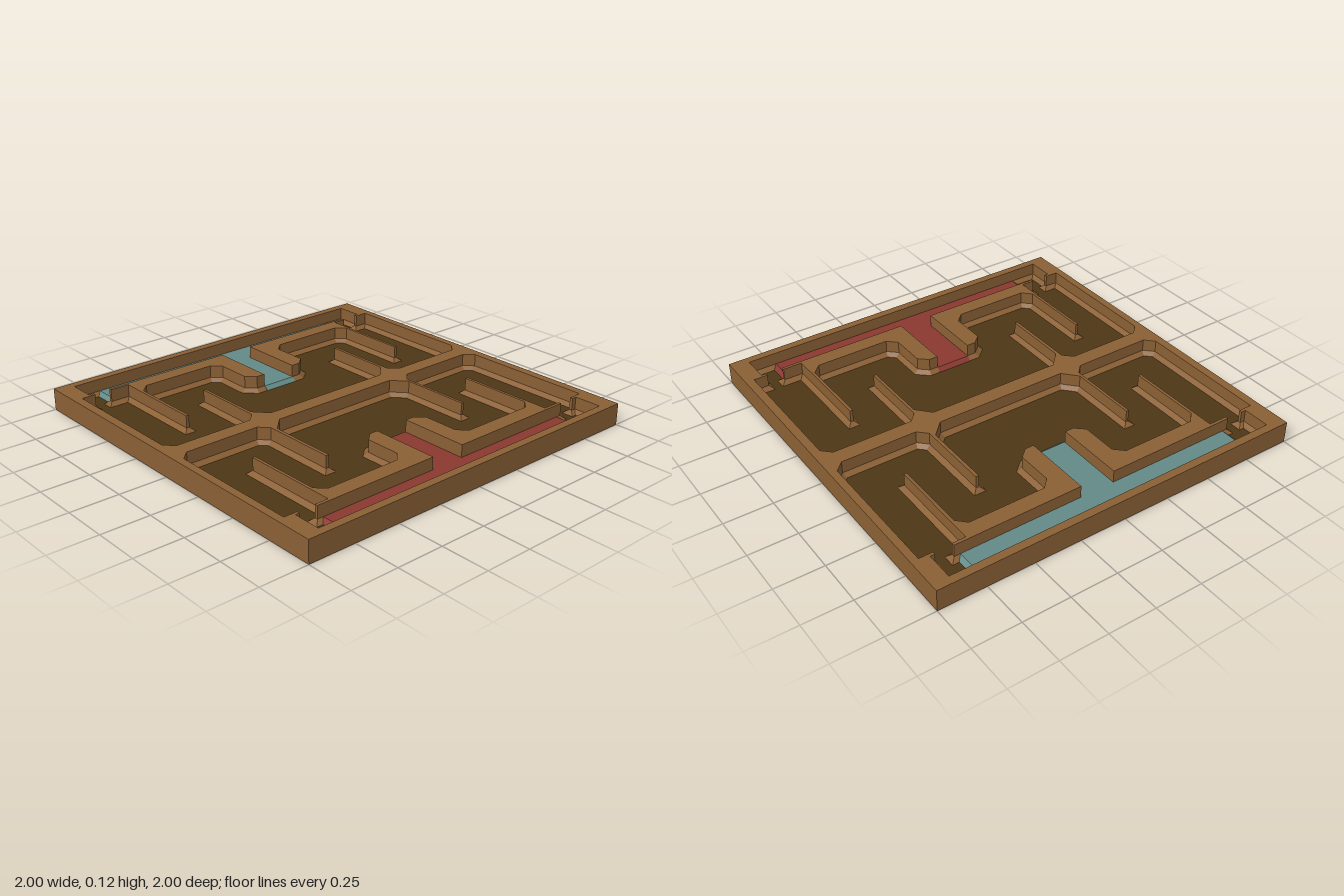
import * as THREE from 'three';

const BASE = 0.03, LEDGE = 0.05, TOP = 0.115, FOOT = 0.024;
const brown = new THREE.MeshStandardMaterial({ color: 0x8b6035, flatShading: true, side: THREE.DoubleSide });
const dark = new THREE.MeshStandardMaterial({ color: 0x4d3616, side: THREE.DoubleSide });
const teal = new THREE.MeshStandardMaterial({ color: 0x638a86, flatShading: true });
const red = new THREE.MeshStandardMaterial({ color: 0x8a3830, flatShading: true });

// Plan outlines are [x, z]; shapes use y = -z so they can be laid flat
const loop = pts => pts.map(([x, z]) => new THREE.Vector2(x, -z));

// Left compartment: corner cells, frame edge and central wall with two thin fins
const cavity = loop([
  [-0.957, -0.912], [-0.813, -0.912], [-0.813, -0.89], [-0.797, -0.89], [-0.797, -0.96],
  [-0.09, -0.96], [-0.043, -0.912], [-0.043, -0.51], [-0.09, -0.463], [-0.487, -0.463],
  [-0.487, -0.446], [-0.118, -0.446], [-0.043, -0.372], [-0.043, 0.356], [-0.118, 0.423],
  [-0.487, 0.423], [-0.487, 0.438], [-0.09, 0.438], [-0.043, 0.484], [-0.043, 0.908],
  [-0.09, 0.955], [-0.797, 0.955], [-0.797, 0.88], [-0.813, 0.88], [-0.813, 0.906], [-0.957, 0.906],
]);

// Hooked wall blocks beside the channel
const rearBlock = loop([
  [-0.813, -0.11], [-0.813, -0.794], [-0.797, -0.794], [-0.797, -0.722], [-0.283, -0.722],
  [-0.283, -0.707], [-0.68, -0.707], [-0.727, -0.66], [-0.727, -0.254], [-0.68, -0.206],
  [-0.49, -0.206], [-0.447, -0.158], [-0.447, -0.11],
]);
const frontBlock = loop([
  [-0.813, 0.078], [-0.447, 0.078], [-0.447, 0.126], [-0.49, 0.174], [-0.68, 0.174],
  [-0.727, 0.222], [-0.727, 0.623], [-0.68, 0.671], [-0.283, 0.671], [-0.283, 0.687],
  [-0.797, 0.687], [-0.797, 0.789], [-0.813, 0.789],
]);

// T-shaped channel strip
const strip = loop([
  [-0.957, -0.785], [-0.813, -0.785], [-0.813, -0.11], [-0.42, -0.11],
  [-0.42, 0.078], [-0.813, 0.078], [-0.813, 0.785], [-0.957, 0.785],
]);

// Mitred offset, positive d grows the outline
function offset(pts, d) {
  const n = pts.length, s = THREE.ShapeUtils.area(pts) > 0 ? 1 : -1;
  const normal = (a, b) => new THREE.Vector2(b.y - a.y, a.x - b.x).normalize().multiplyScalar(s);
  return pts.map((p, i) => {
    const n1 = normal(pts[(i + n - 1) % n], p), n2 = normal(p, pts[(i + 1) % n]);
    return n1.clone().add(n2).multiplyScalar(d / (1 + n1.dot(n2))).add(p);
  });
}

function shapeOf(pts, holes = []) {
  const shape = new THREE.Shape(pts);
  shape.holes = holes.map(h => new THREE.Path(h));
  return shape;
}

function slab(shape, y0, y1) {
  const geo = new THREE.ExtrudeGeometry(shape, { depth: y1 - y0, bevelEnabled: false });
  return geo.rotateX(-Math.PI / 2).translate(0, y0, 0);
}

// Sloping foot between a wall edge and the floor
function footGeometry(edge, foot) {
  const pos = [];
  edge.forEach((a, i) => {
    const j = (i + 1) % edge.length, b = edge[j], c = foot[j], d = foot[i];
    const A = [a.x, LEDGE, -a.y], B = [b.x, LEDGE, -b.y], C = [c.x, BASE, -c.y], D = [d.x, BASE, -d.y];
    pos.push(...A, ...B, ...C, ...A, ...C, ...D);
  });
  const geo = new THREE.BufferGeometry();
  geo.setAttribute('position', new THREE.Float32BufferAttribute(pos, 3));
  geo.computeVertexNormals();
  return geo;
}

function add(group, name, geo, mat) {
  const mesh = new THREE.Mesh(geo, mat);
  mesh.name = name;
  group.add(mesh);
}

function compartment(name, stripMat) {
  const g = new THREE.Group();
  g.name = name;
  const cavityFoot = offset(cavity, -FOOT);
  const blocks = [rearBlock, frontBlock], blockFeet = blocks.map(b => offset(b, FOOT));

  const floor = new THREE.ShapeGeometry(shapeOf(cavityFoot, blockFeet));
  add(g, 'floor', floor.rotateX(-Math.PI / 2).translate(0, BASE + 0.001, 0), dark);
  add(g, 'frameFoot', footGeometry(cavity, cavityFoot), brown);
  blocks.forEach((b, i) => {
    const label = ['rearBlock', 'frontBlock'][i];
    add(g, label, slab(shapeOf(b), BASE, TOP), brown);
    add(g, label + 'Foot', footGeometry(b, blockFeet[i]), brown);
  });

  // Channel strip with ramped ends
  const geo = slab(shapeOf(strip), BASE, LEDGE), p = geo.attributes.position;
  for (let i = 0; i < p.count; i++) {
    if (p.getY(i) < LEDGE - 0.005) continue;
    if (Math.abs(p.getZ(i)) > 0.77) p.setZ(i, p.getZ(i) * 0.97);
    if (p.getX(i) > -0.43) p.setX(i, p.getX(i) - FOOT);
  }
  geo.computeVertexNormals();
  add(g, 'channelStrip', geo, stripMat);
  return g;
}

export function createModel() {
  const model = new THREE.Group();
  model.name = 'mazeTray';

  add(model, 'base', new THREE.BoxGeometry(2, BASE, 2).translate(0, BASE / 2, 0), brown);

  // Outer frame and central wall in one piece
  const square = loop([[-1, 1], [1, 1], [1, -1], [-1, -1]]);
  const turned = cavity.map(p => p.clone().negate());
  add(model, 'frame', slab(shapeOf(square, [cavity, turned]), BASE, TOP), brown);

  // The second compartment is the first turned half round
  const right = compartment('rightCompartment', teal);
  const left = compartment('leftCompartment', red);
  left.rotation.y = Math.PI;
  model.add(right, left);
  return model;
}
